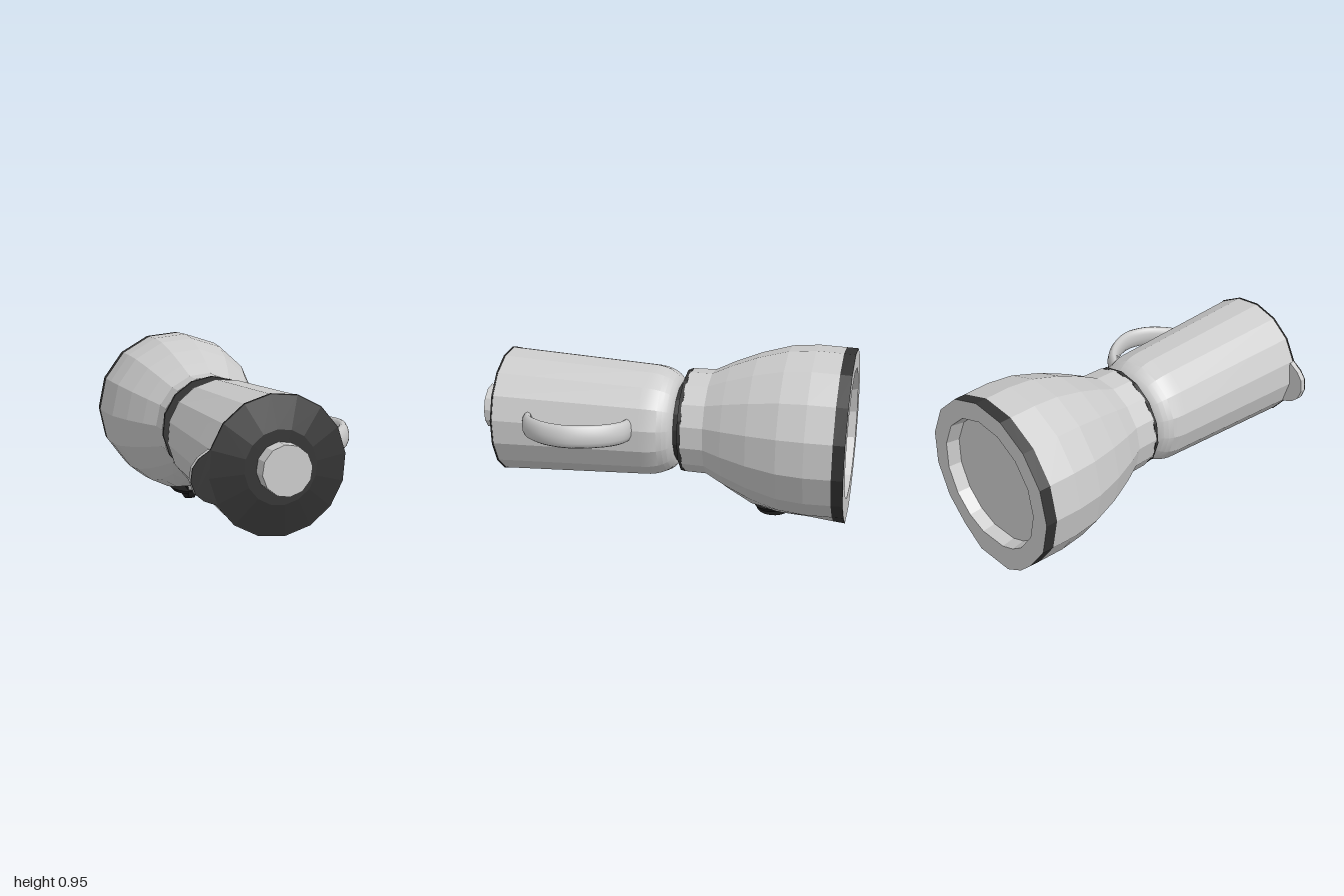
import * as THREE from 'three';
import { toCreasedNormals } from 'three/addons/utils/BufferGeometryUtils.js';

const mat = (color, flat = true) =>
  new THREE.MeshStandardMaterial({ color, flatShading: flat, side: THREE.DoubleSide });
const grey = mat(0xcccccc), dark = mat(0x333333), black = mat(0x1c1c1c);
const smoothGrey = mat(0xcccccc, false);
const rad = THREE.MathUtils.degToRad;

function add(parent, name, geometry, material) {
  const mesh = new THREE.Mesh(geometry, material);
  mesh.name = name;
  parent.add(mesh);
  return mesh;
}

// Disc or cone along z, from z0 (radius r0) to z1 (radius r1)
function drum(z0, r0, z1, r1, sides) {
  return new THREE.CylinderGeometry(r1, r0, z1 - z0, sides)
    .rotateX(Math.PI / 2).translate(0, 0, (z0 + z1) / 2);
}

// Base outline: [angle, swell]; the swelling points carry the switch panel
const outline = [];
for (let a = -36; a <= 228; a += 24) outline.push([a, 0]);
outline.push([242, 0.04], [256.6, 0.079], [283.4, 0.079], [302.5, 0.01]);

// Loft through rings [z, radius, swell amount], ordered from front to back
function loft(rings) {
  const n = outline.length, pos = [], index = [];
  for (const [z, r, k] of rings)
    for (const [a, s] of outline) {
      const d = r * (1 + s * k);
      pos.push(d * Math.cos(rad(a)), d * Math.sin(rad(a)), z);
    }
  for (let i = 0; i < rings.length - 1; i++)
    for (let j = 0; j < n; j++) {
      const a = i * n + j, b = i * n + (j + 1) % n;
      index.push(a, a + n, b + n, a, b + n, b);
    }
  const g = new THREE.BufferGeometry();
  g.setAttribute('position', new THREE.Float32BufferAttribute(pos, 3));
  g.setIndex(index);
  const flat = g.toNonIndexed();
  flat.computeVertexNormals();
  return flat;
}

function buildBase() {
  const base = new THREE.Group();
  base.name = 'base';
  base.position.set(-0.053, 0.503, 0);
  add(base, 'motorHousing', loft([
    [-0.14, 0, 0], [-0.14, 0.28, 0], [-0.26, 0.282, 0], [-0.36, 0.332, 0.6],
    [-0.5, 0.39, 1], [-0.66, 0.437, 0.5], [-0.8, 0.45, 0.3], [-0.94, 0.446, 0.8],
  ]), grey);
  add(base, 'footBand', loft([[-0.94, 0.446, 0.8], [-1, 0.444, 1]]), dark);
  // Underside with a shallow recess
  add(base, 'underside', loft([
    [-1, 0.444, 1], [-1, 0.345, 0], [-0.93, 0.335, 0], [-0.93, 0, 0],
  ]), grey);
  add(base, 'flange', drum(-0.145, 0.28, -0.125, 0.28, 15).rotateZ(rad(12)), dark);

  // Switch knob with a rounded grip
  const knob = new THREE.Group();
  knob.name = 'switchKnob';
  knob.position.set(0, -0.44, -0.612);
  knob.rotation.x = rad(9);
  add(knob, 'knobDisc', new THREE.CylinderGeometry(0.11, 0.09, 0.025, 16), black);
  add(knob, 'knobGrip', new THREE.CylinderGeometry(1, 1, 0.045, 20)
    .rotateZ(Math.PI / 2).scale(1, 0.062, 0.1), black);
  base.add(knob);
  return base;
}

function buildJug() {
  const jug = new THREE.Group();
  jug.name = 'jug';
  jug.position.set(-0.053, 0.492, 0);
  jug.rotation.z = rad(6.5);

  add(jug, 'collar', drum(-0.13, 0.212, -0.08, 0.212, 16), dark);

  // Jar: rounded lower end, then a slight flare to the rim
  const profile = [new THREE.Vector2(0, -0.09)];
  for (let i = 0; i <= 8; i++) {
    const t = (i / 8) * Math.PI / 2;
    profile.push(new THREE.Vector2(0.205 + 0.097 * Math.sin(t), 0.08 - 0.17 * Math.cos(t)));
  }
  profile.push(new THREE.Vector2(0.34, 0.87));
  const jar = new THREE.LatheGeometry(profile, 16).rotateX(Math.PI / 2);
  add(jug, 'jar', toCreasedNormals(jar, 0.36), smoothGrey);

  // Pouring lip
  const lip = [[-0.317, 0.131], [-0.375, 0.1], [-0.41, 0.062], [-0.426, 0],
    [-0.41, -0.062], [-0.375, -0.1], [-0.317, -0.131]].map(p => new THREE.Vector2(...p));
  const plate = (points, z, depth) => new THREE.ExtrudeGeometry(
    new THREE.Shape(points), { depth, bevelEnabled: false }).translate(0, 0, z);
  add(jug, 'pouringLip', plate(lip, 0.842, 0.028), grey);

  // Lid: flat plate following the lip, shallow cone and cap
  const rim = [];
  for (let k = -6; k <= 6; k++) {
    const a = k * Math.PI / 8;
    rim.push(new THREE.Vector2(0.343 * Math.cos(a), 0.343 * Math.sin(a)));
  }
  add(jug, 'lidPlate', plate([...rim, ...lip], 0.868, 0.008), dark);
  add(jug, 'lidCone', drum(0.876, 0.338, 0.917, 0.18, 16), dark);
  add(jug, 'lidCap', drum(0.915, 0.123, 1, 0.123, 12), grey);

  // Handle: an oval-section tube, wide across and thin radially
  const path = new THREE.CatmullRomCurve3([
    [0.285, 0.137], [0.35, 0.147], [0.425, 0.195], [0.49, 0.285], [0.522, 0.4],
    [0.495, 0.515], [0.43, 0.605], [0.375, 0.65], [0.32, 0.672],
  ].map(([u, z]) => new THREE.Vector3(u, 0, z)));
  add(jug, 'handle', new THREE.TubeGeometry(path, 28, 0.03, 12).scale(1, 2, 1), smoothGrey);
  return jug;
}

export function createModel() {
  const model = new THREE.Group();
  model.name = 'blender';
  model.add(buildBase(), buildJug());
  return model;
}
